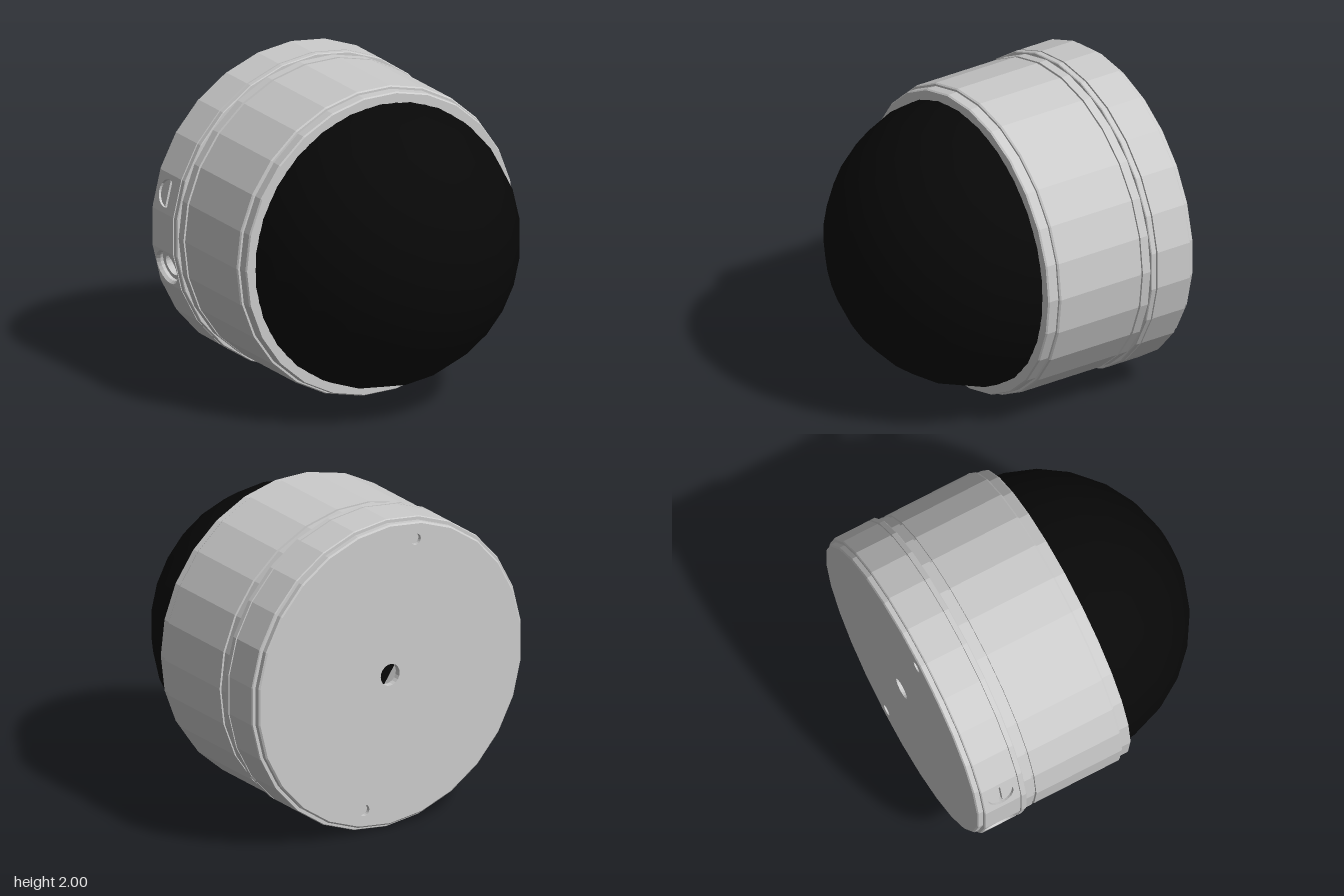
import * as THREE from 'three';
import { mergeGeometries } from 'three/addons/utils/BufferGeometryUtils.js';

const SIDES = 26;
const STEP = (2 * Math.PI) / SIDES;

export function createModel() {
  const model = new THREE.Group();
  const assembly = new THREE.Group(); // axis along z, centred on the origin
  assembly.name = 'domeUnit';
  assembly.position.y = 1;
  model.add(assembly);

  const grey = new THREE.MeshStandardMaterial({ color: 0xcccccc, flatShading: true, side: THREE.DoubleSide });
  const black = new THREE.MeshStandardMaterial({ color: 0x080808, side: THREE.DoubleSide });

  const add = (name, geometry, material = grey, parent = assembly) => {
    const mesh = new THREE.Mesh(geometry, material);
    mesh.name = name;
    parent.add(mesh);
    return mesh;
  };
  // Turned part around the z axis, profile given as [radius, z]
  const turned = (profile, phase = 0, sides = SIDES) =>
    new THREE.LatheGeometry(profile.map(([r, z]) => new THREE.Vector2(r, z)), sides, phase).rotateX(Math.PI / 2);
  const circleHole = (x, y, r) => new THREE.Path().absarc(x, y, r, 0, 2 * Math.PI, true);

  // Smooth dark dome
  const dome = new THREE.SphereGeometry(0.91, SIDES, 7, 0, 2 * Math.PI, 0, Math.PI / 2);
  dome.rotateY(STEP / 2).rotateX(Math.PI / 2).translate(0, 0, 0.02);
  add('dome', dome, black);

  // Main housing with front lip and narrow groove
  add('housing', turned([
    [0.895, 0.06], [0.895, 0.13], [0.955, 0.13], [0.962, 0.12], [0.962, 0.06],
    [0.975, 0.06], [0.982, 0.05], [0.982, -0.532], [0.968, -0.532],
    [0.968, -0.55], [0.982, -0.55], [0.982, -0.605],
  ], STEP / 2));

  // Base ring: front collar, faceted wall and stepped rear rim
  add('baseCollar', turned([
    [0.95, -0.605], [0.995, -0.605], [1, -0.61], [1, -0.64],
    [0.985, -0.64], [0.985, -0.65], [1, -0.65],
  ]));
  add('rearRim', turned([
    [1, -0.885], [0.995, -0.892], [0.975, -0.892], [0.975, -0.922], [0.965, -0.93],
  ]));

  const zFront = -0.65, zBack = -0.885;
  const zMid = (zFront + zBack) / 2;
  const halfW = Math.sin(STEP / 2), halfH = (zFront - zBack) / 2;
  const facetMatrix = (k) => {
    const a = k * STEP;
    const radial = new THREE.Vector3(Math.cos(a), Math.sin(a), 0);
    const tangent = new THREE.Vector3(-Math.sin(a), Math.cos(a), 0);
    return new THREE.Matrix4()
      .makeBasis(tangent, new THREE.Vector3(0, 0, 1), radial)
      .setPosition(radial.multiplyScalar(Math.cos(STEP / 2)).setZ(zMid));
  };
  const screwFacet = SIDES / 2 - 1, socketFacet = SIDES / 2 + 1;
  const holeRadius = { [screwFacet]: 0.086, [socketFacet]: 0.112 };
  const panels = [];
  for (let k = 0; k < SIDES; k++) {
    const shape = new THREE.Shape([
      new THREE.Vector2(-halfW, -halfH), new THREE.Vector2(halfW, -halfH),
      new THREE.Vector2(halfW, halfH), new THREE.Vector2(-halfW, halfH),
    ]);
    if (holeRadius[k]) shape.holes.push(circleHole(0, 0, holeRadius[k]));
    panels.push(new THREE.ShapeGeometry(shape, 12).applyMatrix4(facetMatrix(k)));
  }
  add('baseWall', mergeGeometries(panels));

  const sideFitting = (name, k) => {
    const group = new THREE.Group();
    group.name = name;
    group.applyMatrix4(facetMatrix(k));
    assembly.add(group);
    return group;
  };

  // Slotted side screw sunk in its hole
  const screw = sideFitting('sideScrew', screwFacet);
  add('screwBore', turned([[0.086, 0], [0.086, -0.06]], 0, 24), grey, screw);
  for (const s of [-1, 1]) {
    const half = new THREE.Shape().absarc(0, 0, 0.084, 0.12, Math.PI - 0.12, false);
    half.closePath();
    const head = new THREE.ExtrudeGeometry(half, { depth: 0.03, bevelEnabled: false, curveSegments: 12 });
    add('screwHeadHalf', head.rotateZ(s > 0 ? 0 : Math.PI).translate(0, 0, -0.045), grey, screw);
  }
  add('screwSlotFloor', new THREE.CircleGeometry(0.086, 24).translate(0, 0, -0.044), grey, screw);

  // Stepped cable socket
  const socket = sideFitting('cableSocket', socketFacet);
  add('socketBore', turned([
    [0.112, 0], [0.1, -0.02], [0.1, -0.04], [0.07, -0.04], [0.07, -0.14], [0, -0.14],
  ], 0, 24), grey, socket);

  // Back plate with a central opening and two screw holes
  const plate = new THREE.Shape();
  for (let k = 0; k < SIDES; k++) {
    const a = (k + 0.5) * STEP;
    plate[k ? 'lineTo' : 'moveTo'](0.965 * Math.cos(a), 0.965 * Math.sin(a));
  }
  plate.closePath();
  const screwSpots = [[-0.19, 0.84], [0.19, -0.84]];
  plate.holes.push(circleHole(0, 0, 0.07));
  for (const [x, y] of screwSpots) plate.holes.push(circleHole(x, y, 0.036));
  add('backPlate', new THREE.ExtrudeGeometry(plate, { depth: 0.04, bevelEnabled: false, curveSegments: 10 })
    .translate(0, 0, -0.93));
  for (const [x, y] of screwSpots) {
    add('backScrew', new THREE.CylinderGeometry(0.036, 0.036, 0.02, 16)
      .rotateX(Math.PI / 2).translate(x, y, -0.895));
  }

  return model;
}
